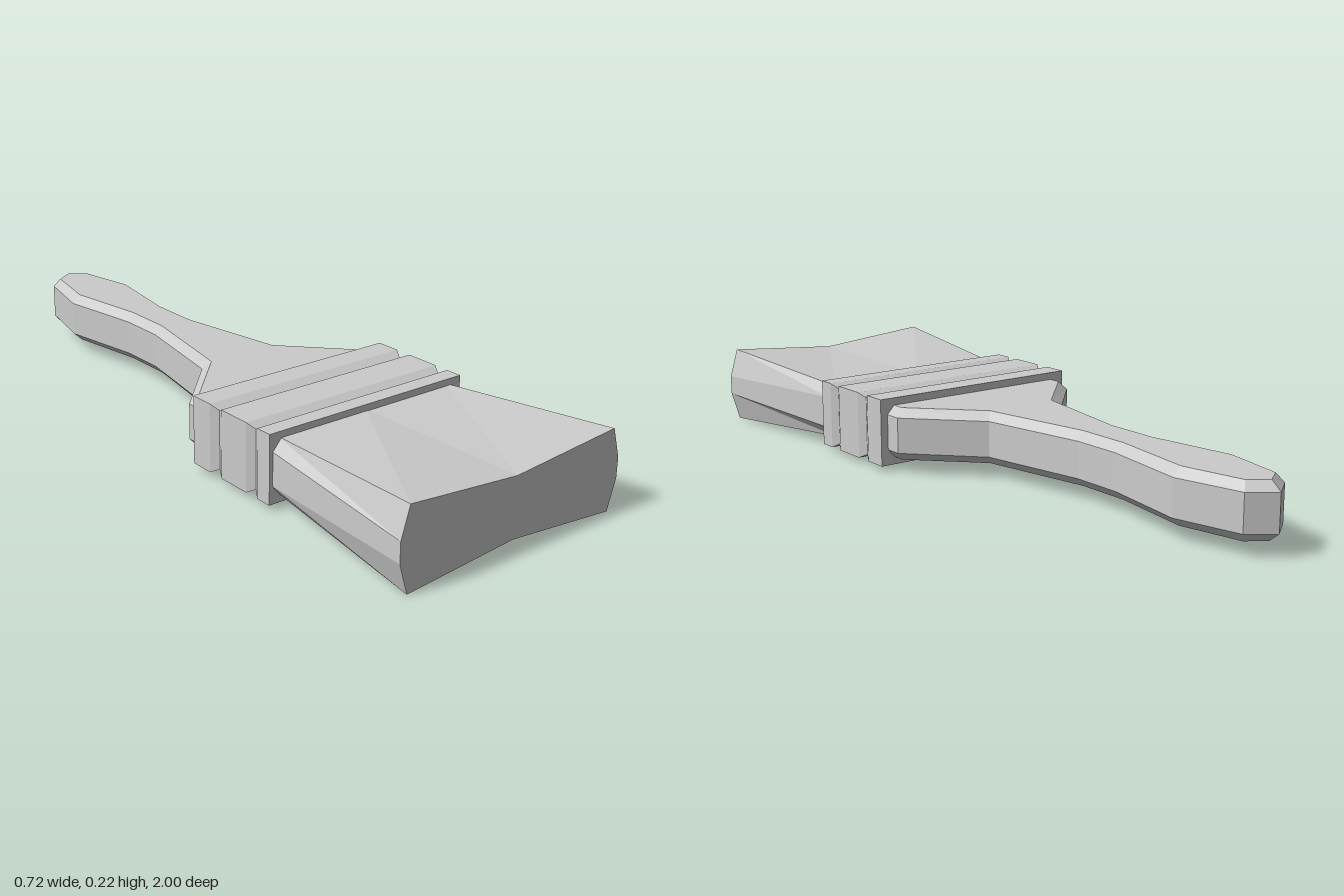
import * as THREE from 'three';

const material = new THREE.MeshStandardMaterial({ color: 0xcccccc, flatShading: true });
const MID = 0.113; // height of the brush's centre plane

// Skins rings of [x, y, z] points (counter-clockwise seen from +z, ordered back to front) and caps both ends.
function loft(name, rings) {
  const pos = [];
  const tri = (a, b, c) => {
    const [A, B, C] = [a, b, c].map(p => new THREE.Vector3(...p));
    const area = B.clone().sub(A).cross(C.clone().sub(A)).length();
    if (area > 1e-7) pos.push(...a, ...b, ...c); // skip collapsed corners
  };
  const n = rings[0].length;
  for (let i = 0; i < rings.length - 1; i++) {
    for (let j = 0; j < n; j++) {
      const k = (j + 1) % n;
      const [a, b, c, d] = [rings[i][j], rings[i][k], rings[i + 1][k], rings[i + 1][j]];
      tri(a, b, c);
      tri(a, c, d);
    }
  }
  const cap = (ring, front) => {
    const mid = [0, 1, 2].map(q => ring.reduce((s, p) => s + p[q], 0) / n);
    for (let j = 0; j < n; j++) {
      const k = (j + 1) % n;
      if (front) tri(mid, ring[j], ring[k]);
      else tri(mid, ring[k], ring[j]);
    }
  };
  cap(rings[0], false);
  cap(rings[rings.length - 1], true);
  const geometry = new THREE.BufferGeometry();
  geometry.setAttribute('position', new THREE.Float32BufferAttribute(pos, 3));
  geometry.computeVertexNormals();
  const mesh = new THREE.Mesh(geometry, material);
  mesh.name = name;
  return mesh;
}

// Mirrors one upper-right quarter, listed from the side up to the top, into a full ring.
function mirrorRing(quarter) {
  const half = [...quarter, ...quarter.filter(p => !p[3]).reverse().map(([x, y, z]) => [-x, y, z])];
  const lower = [...half].reverse().map(([x, y, z]) => [x, -y, z]);
  const left = half.length;
  return [...half, ...lower].slice(0, left * 2).map(([x, y, z]) => [x, y + MID, z]);
}

export function createModel() {
  const group = new THREE.Group();
  group.name = 'paintbrush';

  // Handle: side outline (x, z) and chamfered face outline (x, z) per station
  const handle = [
    [0, -1, 0, -0.97],
    [0.067, -0.95, 0.05, -0.935],
    [0.11, -0.76, 0.085, -0.76],
    [0.07, -0.51, 0.048, -0.515],
    [0.07, -0.365, 0.048, -0.36],
    [0.125, -0.055, 0.107, -0.035],
    [0.3, 0.13, 0.278, 0.143],
    [0.3, 0.2, 0.278, 0.2],
  ].map(([xo, zo, xi, zi]) => mirrorRing([[xo, 0.05, zo], [xi, 0.074, zi]]));
  group.add(loft('handle', handle));

  // Ferrule: rectangular metal band with two V grooves
  const ferrule = [
    [0.18, 0], [0.25, 0], [0.275, 0.013], [0.3, 0],
    [0.402, 0], [0.425, 0.013], [0.447, 0], [0.495, 0],
  ].map(([z, inset]) => mirrorRing([[0.322 - inset, 0.095 - inset, z]]));
  group.add(loft('ferrule', ferrule));

  // Bristles: flare towards the front, where the broad faces dip in the middle (flag marks the shared centre point)
  const bristles = [
    mirrorRing([[0.31, 0.046, 0.48], [0.285, 0.076, 0.48], [0, 0.076, 0.48, true]]),
    mirrorRing([[0.36, 0.028, 1], [0.335, 0.111, 1], [0, 0.082, 1, true]]),
  ];
  group.add(loft('bristles', bristles));

  return group;
}
